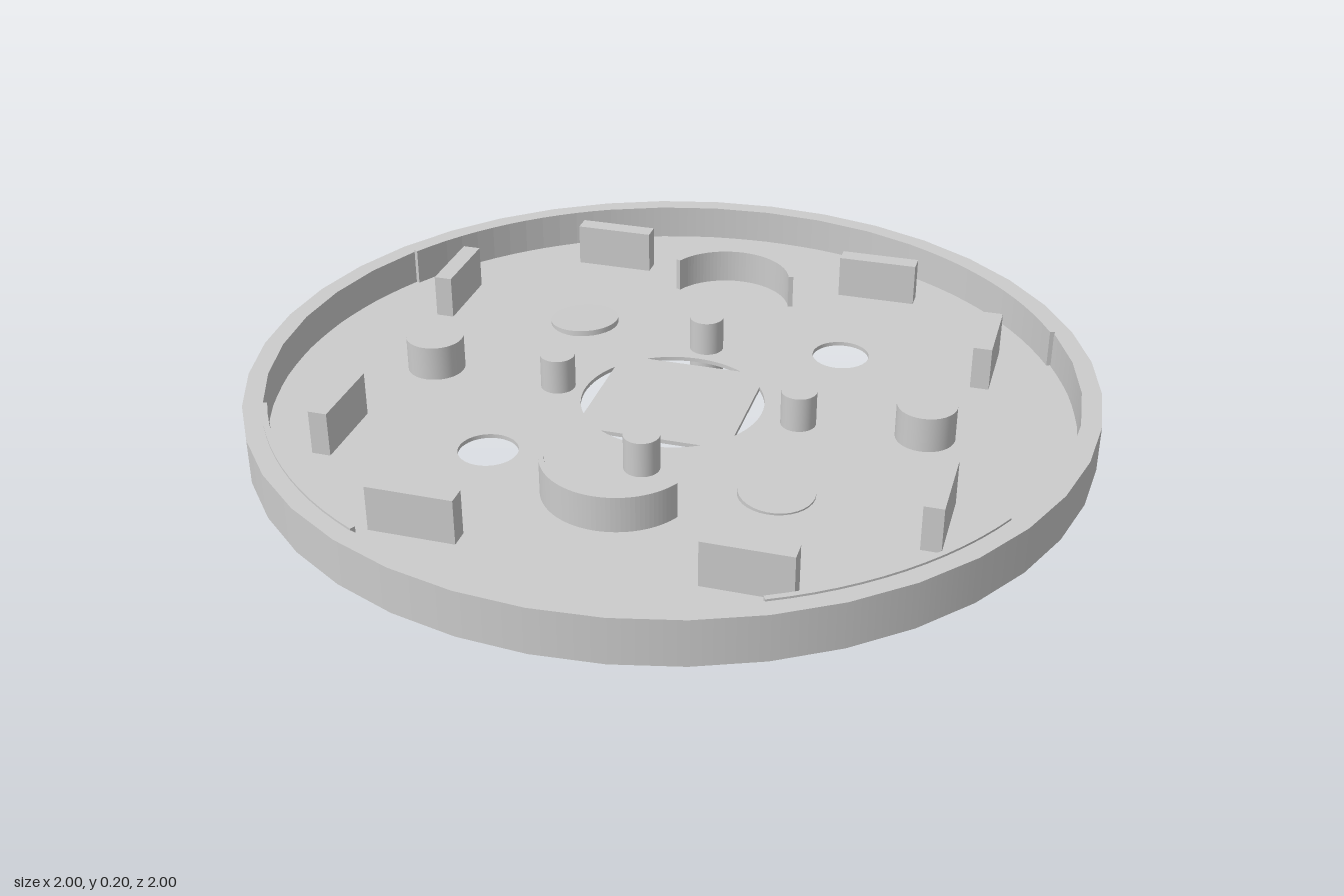
import * as THREE from 'three';

const mat = new THREE.MeshStandardMaterial({ color: 0xcccccc });
const open = new THREE.MeshStandardMaterial({ color: 0xcccccc, side: THREE.DoubleSide });
const SIDES = 40;
const FLOOR = 0.087, FLOOR_TOP = 0.097;

export function createModel() {
  const group = new THREE.Group();

  function add(name, geometry, x = 0, y = 0, z = 0, material = mat) {
    const mesh = new THREE.Mesh(geometry, material);
    mesh.name = name;
    mesh.position.set(x, y, z);
    group.add(mesh);
    return mesh;
  }

  // Extrudes a plan outline (shape y = -z) upwards from y0 to y1
  function slab(name, shape, y0, y1, curveSegments = 24) {
    const g = new THREE.ExtrudeGeometry(shape, { depth: y1 - y0, bevelEnabled: false, curveSegments });
    g.rotateX(-Math.PI / 2);
    return add(name, g, 0, y0, 0);
  }

  // Curved wall seen in plan, angles in degrees from +x towards -z
  function arcWall(name, cx, cz, rIn, rOut, from, to, y0, y1, segs = 20) {
    const a = THREE.MathUtils.degToRad(from), b = THREE.MathUtils.degToRad(to);
    const s = new THREE.Shape();
    s.absarc(cx, -cz, rOut, a, b, false);
    s.absarc(cx, -cz, rIn, b, a, true);
    s.closePath();
    return slab(name, s, y0, y1, segs);
  }

  // Floor disc with two round holes and a cross-spoked centre opening
  const floor = new THREE.Shape();
  floor.absarc(0, 0, 0.952, 0, Math.PI * 2, false);
  for (const sx of [-1, 1]) {
    const hole = new THREE.Path();
    hole.absarc(0.48 * sx, 0, 0.07, 0, Math.PI * 2, true);
    floor.holes.push(hole);
  }
  const bar = 0.045, hubR = 0.22, edge = Math.asin(bar / hubR);
  for (let i = 0; i < 4; i++) {
    const q = i * Math.PI / 2;
    const hole = new THREE.Path();
    hole.moveTo(bar * (Math.cos(q) - Math.sin(q)), bar * (Math.sin(q) + Math.cos(q)));
    hole.absarc(0, 0, hubR, q + edge, q + Math.PI / 2 - edge, false);
    hole.closePath();
    floor.holes.push(hole);
  }
  slab('floor', floor, FLOOR, FLOOR_TOP, SIDES);

  // Rim: outer wall, top lip and inner wall, open underneath
  const rimParts = [
    ['rimOuterWall', [[1, 0.075], [1, 0.185]]],
    ['rimLip', [[1, 0.185], [0.954, 0.185]]],
    ['rimInnerWall', [[0.954, 0.185], [0.954, FLOOR]]],
  ];
  for (const [name, points] of rimParts) {
    const profile = points.map(([r, y]) => new THREE.Vector2(r, y));
    add(name, new THREE.LatheGeometry(profile, SIDES), 0, 0, 0, open);
  }

  // Four shallow raised sections inside the rim
  for (let i = 0; i < 4; i++) {
    arcWall('rimTab', 0, 0, 0.943, 0.956, i * 90 - 18, i * 90 + 18, FLOOR_TOP, 0.19, 6);
  }

  // Eight upright blocks, a pair in each quadrant, lying across its diagonal
  for (const sx of [-1, 1]) for (const sz of [-1, 1]) {
    for (const [x, z] of [[0.235, 0.75], [0.75, 0.235]]) {
      const block = add('block', new THREE.BoxGeometry(0.2, 0.13, 0.045), x * sx, 0.14, z * sz);
      block.rotation.y = sx * sz * Math.PI / 4;
    }
  }

  // Posts passing through the floor
  function post(name, x, z, r, y0, y1) {
    add(name, new THREE.CylinderGeometry(r, r, y1 - y0, 32), x, (y0 + y1) / 2, z);
  }
  for (const s of [-1, 1]) post('largePost', 0.43 * s, 0.43 * s, 0.07, 0, 0.183);
  for (const x of [-0.208, 0.206]) for (const z of [-0.198, 0.236]) {
    post('smallPost', x, z, 0.042, 0.035, 0.183);
  }

  // Curved guards
  arcWall('curvedGuard', 0.365, -0.37, 0.161, 0.173, -28, 111, 0.018, 0.183);
  arcWall('curvedGuard', -0.295, 0.29, 0.161, 0.173, 150, 290, 0.018, 0.183);

  // Slightly tilted buttons, raised on the side nearest the centre
  for (const s of [-1, 1]) {
    const button = add('button', new THREE.CylinderGeometry(0.087, 0.087, 0.014, 32), 0, 0.1, 0.475 * s);
    button.rotation.x = s * 0.07;
  }

  return group;
}
